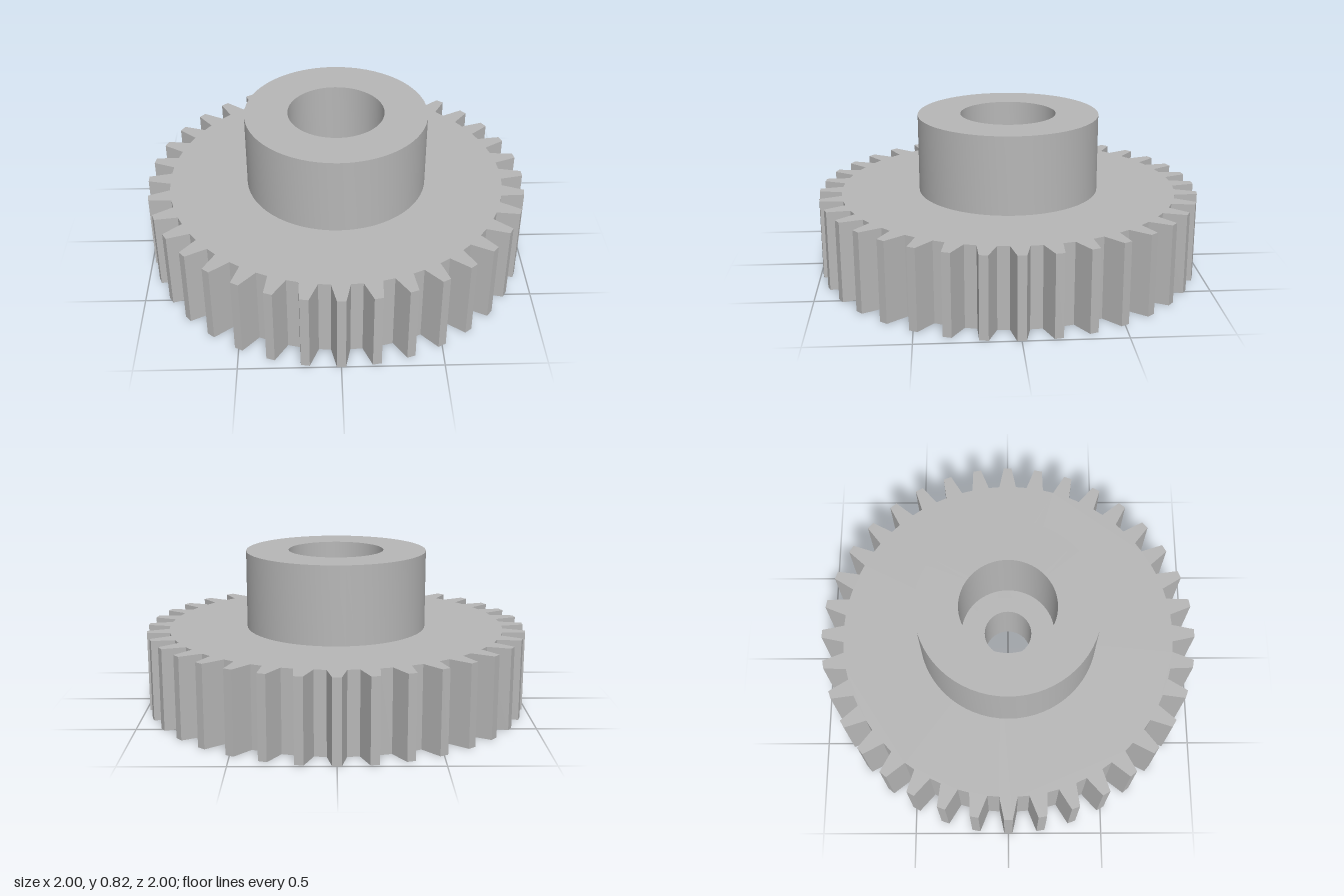
import * as THREE from 'three';
import { toCreasedNormals } from 'three/addons/utils/BufferGeometryUtils.js';

const TEETH = 36, TIP_R = 1, ROOT_R = 0.883;
const GEAR_H = 0.42, HUB_TOP = 0.825, HUB_R = 0.473, HUB_BORE = 0.25;
const RECESS_R = 0.206, RECESS_H = 0.11, BORE_R = 0.125;

export function createModel() {
  const group = new THREE.Group();
  const steel = new THREE.MeshStandardMaterial({ color: 0xb6b6b6 });
  steel.name = 'steel grey';

  const add = (name, geometry) => {
    const mesh = new THREE.Mesh(toCreasedNormals(geometry, 0.4), steel);
    mesh.name = name;
    group.add(mesh);
  };
  const lathe = (points) =>
    new THREE.LatheGeometry(points.map(([r, y]) => new THREE.Vector2(r, y)), 64);

  // Toothed wheel: tapered teeth with flat tips and flat gaps
  const outline = [];
  for (let i = 0; i < TEETH; i++) {
    const a = (i / TEETH) * Math.PI * 2;
    for (const [r, halfWidth] of [[ROOT_R, -0.047], [TIP_R, -0.022], [TIP_R, 0.022], [ROOT_R, 0.047]]) {
      const t = a + halfWidth / r;
      outline.push(new THREE.Vector2(r * Math.cos(t), r * Math.sin(t)));
    }
  }
  const shape = new THREE.Shape(outline);
  shape.holes.push(new THREE.Path().absarc(0, 0, RECESS_R, 0, Math.PI * 2, true));
  const wheel = new THREE.ExtrudeGeometry(shape, { depth: GEAR_H, bevelEnabled: false, curveSegments: 32 });
  wheel.rotateX(-Math.PI / 2);
  add('toothedWheel', wheel);

  // Inner web with the narrow shaft hole, set above the underside recess
  add('shaftHoleWeb', lathe([
    [HUB_BORE, GEAR_H], [BORE_R, GEAR_H], [BORE_R, RECESS_H], [RECESS_R, RECESS_H],
  ]));

  // Raised hollow hub
  add('hub', lathe([
    [HUB_R, GEAR_H], [HUB_R, HUB_TOP], [HUB_BORE, HUB_TOP], [HUB_BORE, GEAR_H],
  ]));

  return group;
}
